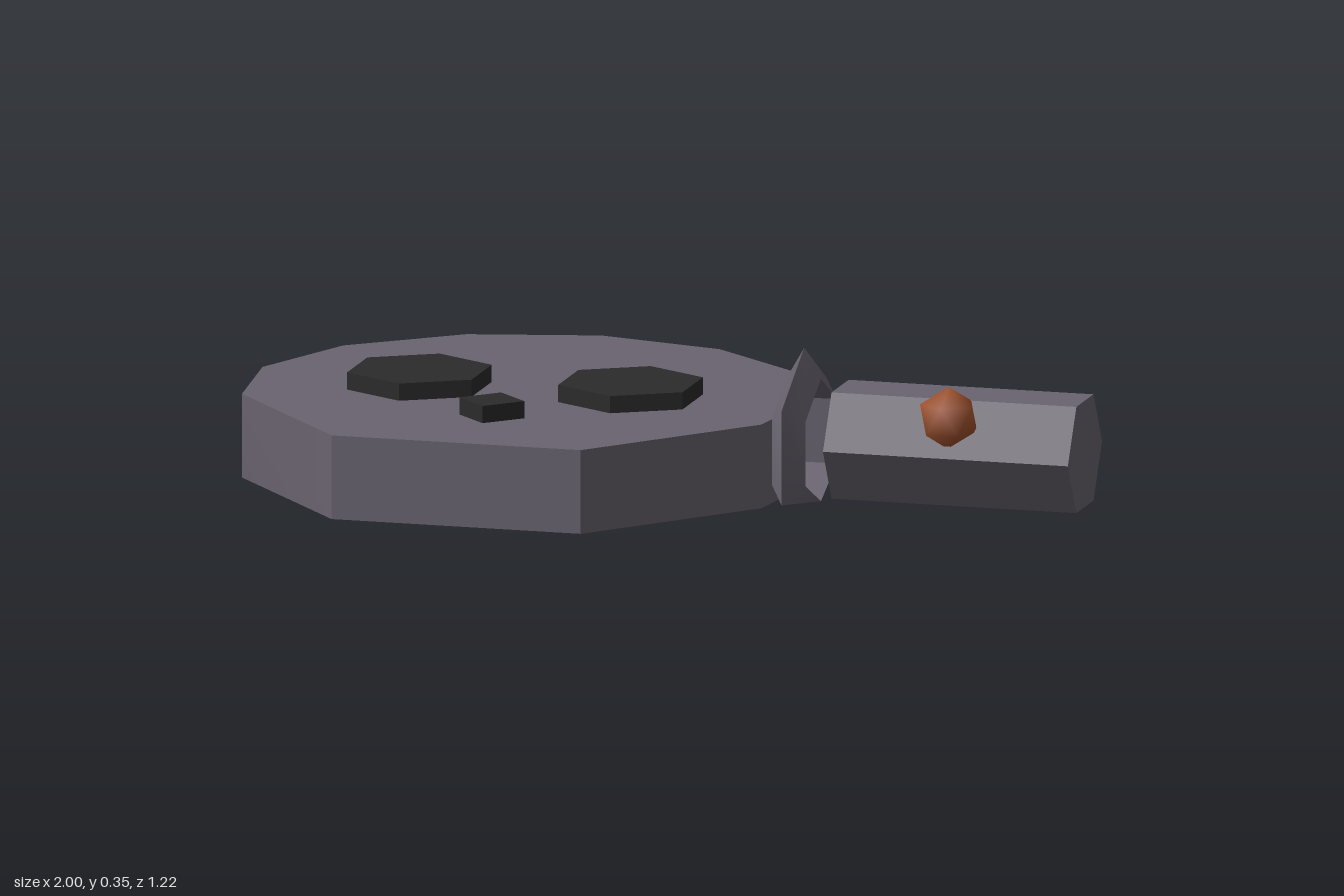
import * as THREE from 'three';
import { mergeVertices, toCreasedNormals } from 'three/addons/utils/BufferGeometryUtils.js';

const CREASE = THREE.MathUtils.degToRad(40);
const BODY_TOP = 0.195;

export function createModel() {
  const group = new THREE.Group();
  const stone = new THREE.MeshStandardMaterial({ color: 0x69636f });
  stone.name = 'purple grey';
  const dark = new THREE.MeshStandardMaterial({ color: 0x2a2b2a });
  dark.name = 'charcoal';
  const rust = new THREE.MeshStandardMaterial({ color: 0xa0522d });
  rust.name = 'rust';

  function add(name, geometry, material, x = 0, y = 0, z = 0) {
    const mesh = new THREE.Mesh(geometry, material);
    mesh.name = name;
    mesh.position.set(x, y, z);
    group.add(mesh);
    return mesh;
  }
  const crease = (geometry) => toCreasedNormals(geometry, CREASE);

  // Flat skull-shaped slab: half outline as [x, z], mirrored about its own axis
  const half = [[0.295, 0.605], [0.615, 0.225], [0.65, -0.07], [0.537, -0.345], [0.3, -0.54]];
  const outline = [
    ...half.map(([x, z]) => new THREE.Vector2(x, -z)),
    new THREE.Vector2(0, -(-0.61)),
    ...half.slice().reverse().map(([x, z]) => new THREE.Vector2(-x, -z)),
  ];
  const slab = new THREE.ExtrudeGeometry(new THREE.Shape(outline), { depth: BODY_TOP, bevelEnabled: false });
  slab.rotateX(-Math.PI / 2);
  add('body', crease(slab), stone, -0.35);

  // Hexagonal eyes and diamond nose raised on the top face
  const prism = (radius, sides) => crease(new THREE.CylinderGeometry(radius, radius, 0.04, sides));
  for (const side of [-1, 1]) {
    add(side > 0 ? 'leftEye' : 'rightEye', prism(0.17, 6), dark, -0.35 + side * 0.25, BODY_TOP + 0.02, 0.03);
  }
  add('nose', prism(0.077, 4), dark, -0.35, BODY_TOP + 0.02, 0.306);

  // Six-sided ring with triangular section, its lowest corners flattened onto the ground
  const ring = new THREE.TorusGeometry(0.173, 0.046, 3, 6);
  ring.rotateZ(Math.PI / 2).rotateY(Math.PI / 2).translate(0, 0.136, 0);
  const pos = ring.attributes.position;
  for (let i = 0; i < pos.count; i++) pos.setY(i, Math.max(0, pos.getY(i)));
  add('ring', crease(ring), stone, 0.335, 0, 0.113);

  // Hexagonal handle
  const handle = new THREE.CylinderGeometry(0.143, 0.143, 0.58, 6).rotateZ(Math.PI / 2);
  add('handle', crease(handle), stone, 0.71, 0.147, 0.113);

  // Smooth-shaded button on the handle, standing on a corner
  let button = new THREE.IcosahedronGeometry(0.073, 0);
  button.rotateZ(-Math.atan(2 / (1 + Math.sqrt(5)))).rotateY(-Math.PI / 2);
  button.deleteAttribute('normal');
  button.deleteAttribute('uv');
  button = mergeVertices(button);
  button.computeVertexNormals();
  add('button', button, rust, 0.71, 0.237, 0.229);

  return group;
}
